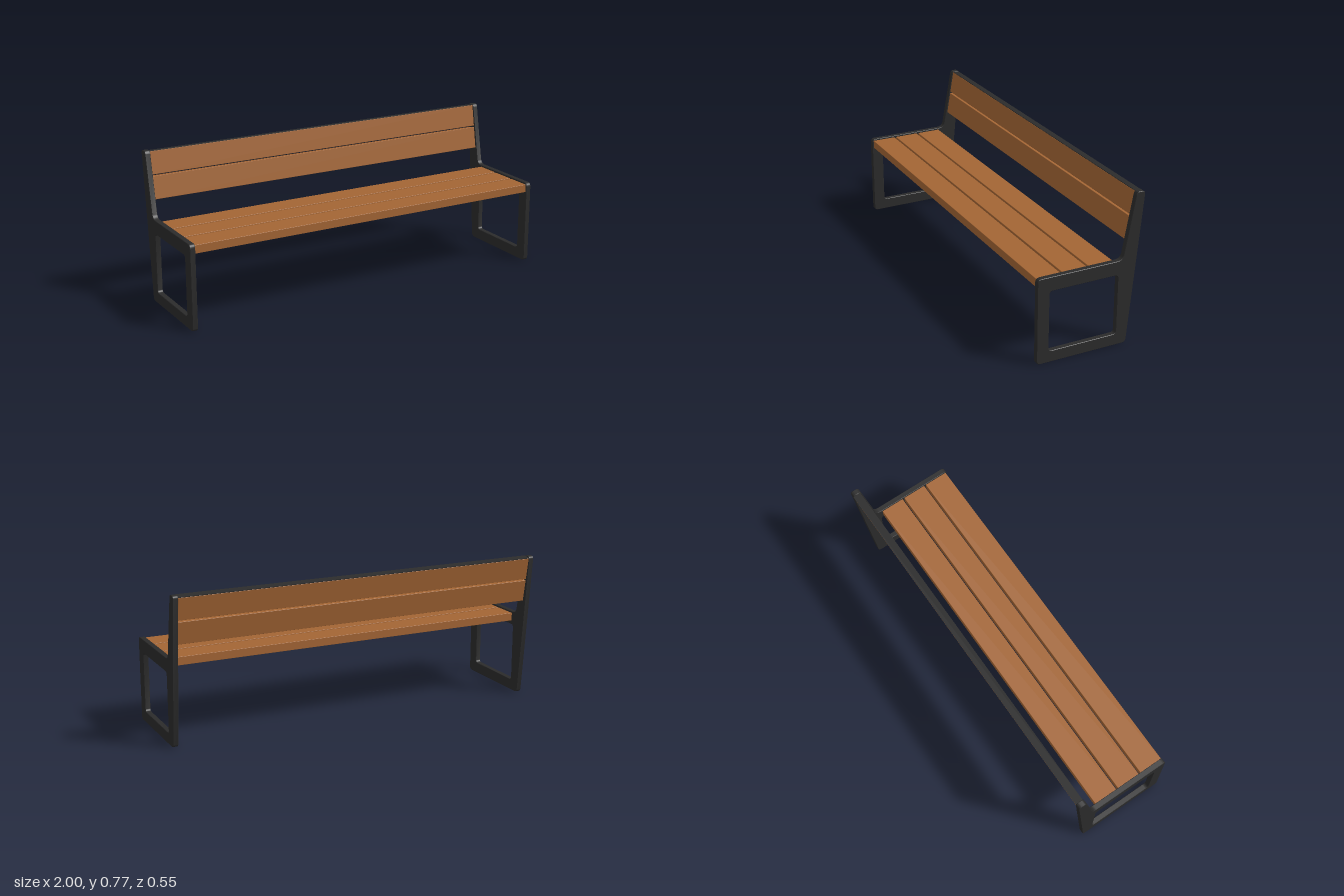
import * as THREE from 'three';
import { toCreasedNormals } from 'three/addons/utils/BufferGeometryUtils.js';
import { RoundedBoxGeometry } from 'three/addons/geometries/RoundedBoxGeometry.js';

const wood = new THREE.MeshStandardMaterial({ color: 0xa36534 });
wood.name = 'wood';
const steel = new THREE.MeshStandardMaterial({ color: 0x2b2b2b });
steel.name = 'darkSteel';

const INNER = 0.972; // half the distance between the side frames

// Trace a closed polygon of [x, y, cornerRadius] with rounded corners
function roundedPath(path, corners) {
  const n = corners.length;
  corners.forEach(([x, y, r], i) => {
    const corner = new THREE.Vector2(x, y);
    const towards = (j) => {
      const [px, py] = corners[(j + n) % n];
      return new THREE.Vector2(px, py).sub(corner).setLength(r).add(corner);
    };
    const start = towards(i - 1);
    const end = towards(i + 1);
    if (i === 0) path.moveTo(start.x, start.y);
    else path.lineTo(start.x, start.y);
    path.quadraticCurveTo(x, y, end.x, end.y);
  });
  path.closePath();
  return path;
}

// Side frame drawn in (z, y): leg loop with the backrest upright
function frameGeometry() {
  const bevel = 0.002;
  const shape = roundedPath(new THREE.Shape(), [
    [0.278, 0, 0.02], [-0.203, 0, 0.02], [-0.277, 0.772, 0.018],
    [-0.232, 0.772, 0.016], [-0.17, 0.44, 0.03], [0.278, 0.44, 0.022],
  ]);
  shape.holes.push(roundedPath(new THREE.Path(), [
    [0.216, 0.058, 0.018], [0.216, 0.369, 0.018],
    [-0.147, 0.369, 0.018], [-0.147, 0.058, 0.018],
  ]));
  const depth = 1 - INNER - 2 * bevel;
  const geometry = new THREE.ExtrudeGeometry(shape, {
    depth, curveSegments: 6, bevelEnabled: true, bevelSegments: 1,
    bevelSize: bevel, bevelThickness: bevel, bevelOffset: -bevel,
  });
  geometry.translate(0, 0, -depth / 2);
  geometry.rotateY(-Math.PI / 2);
  return toCreasedNormals(geometry, 0.5);
}

function slat(name, height, depth, y, z) {
  const geometry = new RoundedBoxGeometry(2 * INNER, height, depth, 1, 0.002);
  const mesh = new THREE.Mesh(geometry, wood);
  mesh.name = name;
  mesh.position.set(0, y, z);
  return mesh;
}

export function createModel() {
  const bench = new THREE.Group();
  bench.name = 'bench';

  // Two side frames
  const frame = frameGeometry();
  for (const [name, side] of [['leftFrame', 1], ['rightFrame', -1]]) {
    const mesh = new THREE.Mesh(frame, steel);
    mesh.name = name;
    mesh.position.x = side * (1 + INNER) / 2;
    bench.add(mesh);
  }

  // Three seat planks
  const seat = new THREE.Group();
  seat.name = 'seat';
  for (let i = 0; i < 3; i++) {
    seat.add(slat('seatPlank' + (i + 1), 0.043, 0.128, 0.411, 0.207 - i * 0.139));
  }
  bench.add(seat);

  // Two leaning back planks, measured up from their lower front edge
  const back = new THREE.Group();
  back.name = 'backrest';
  back.position.set(0, 0.53, -0.195);
  back.rotation.x = -0.17;
  const thick = 0.04;
  for (let i = 0; i < 2; i++) {
    back.add(slat('backPlank' + (i + 1), 0.1165, thick, 0.05825 + i * 0.1245, -thick / 2));
  }

  // Thin steel strip along the top edge
  const cap = new THREE.Mesh(new THREE.BoxGeometry(2 * INNER, 0.003, thick), steel);
  cap.name = 'topStrip';
  cap.position.set(0, 0.2425, -thick / 2);
  back.add(cap);
  bench.add(back);

  return bench;
}
